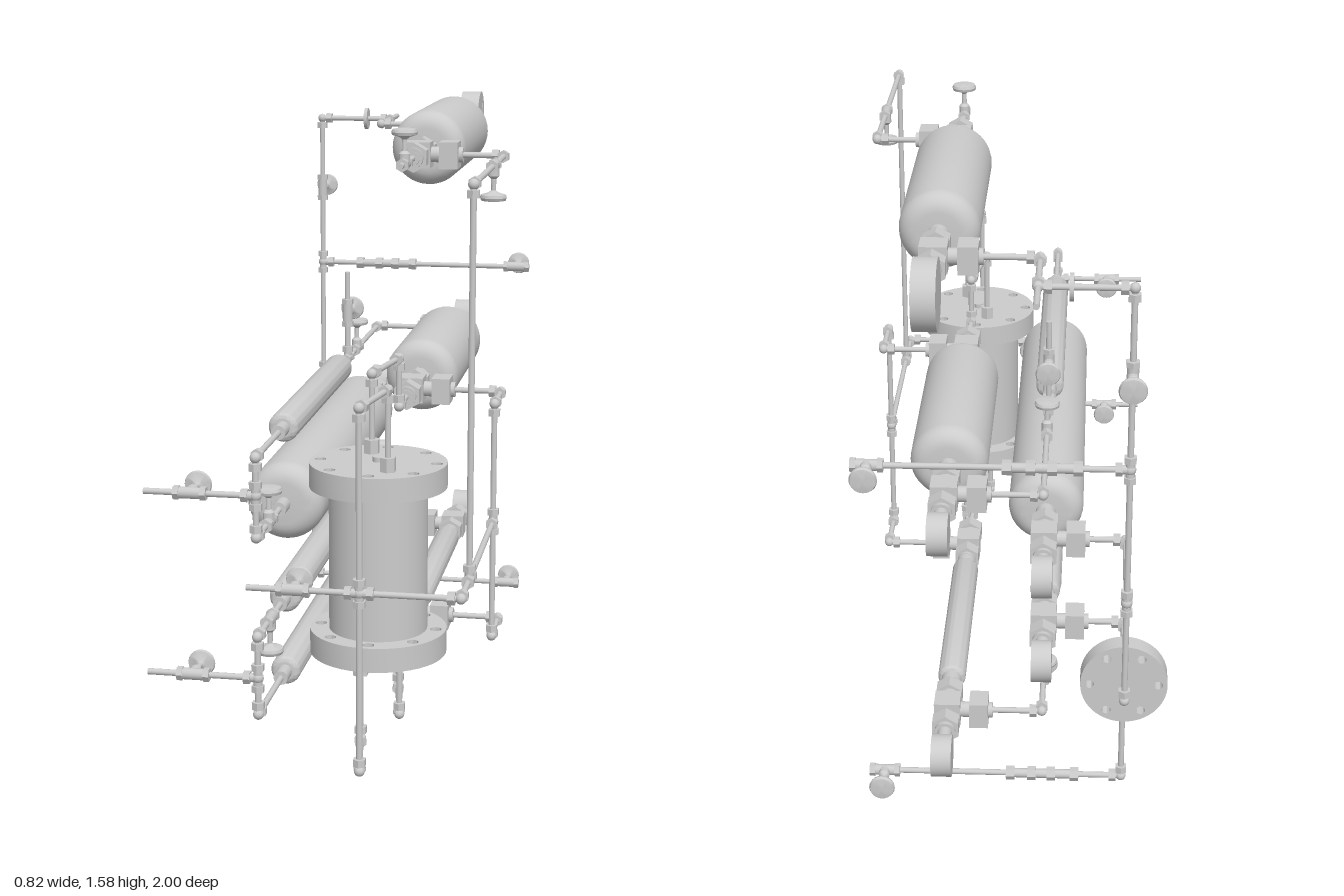
import * as THREE from 'three';
import { toCreasedNormals } from 'three/addons/utils/BufferGeometryUtils.js';

const mat = new THREE.MeshStandardMaterial({ color: 0xcccccc });
const V = (x, y, z) => new THREE.Vector3(x, y, z);
const UP = V(0, 1, 0);
const X = V(1, 0, 0), Z = V(0, 0, 1), NX = V(-1, 0, 0), NZ = V(0, 0, -1), DOWN = V(0, -1, 0);
const PIPE = 0.0075;
const MID = 0.56; // height of the plane about which the lower half mirrors

export function createModel() {
  const root = new THREE.Group();
  root.name = 'pipingAssembly';

  // Place a geometry built along +y at a position, pointing along a direction
  const put = (name, geo, pos, dir = UP, parent = root) => {
    const m = new THREE.Mesh(geo, mat);
    m.name = name;
    m.position.copy(pos);
    m.quaternion.setFromUnitVectors(UP, dir);
    parent.add(m);
    return m;
  };
  const group = (name) => {
    const g = new THREE.Group();
    g.name = name;
    root.add(g);
    return g;
  };
  const lathe = (pts, seg = 32) => toCreasedNormals(
    new THREE.LatheGeometry(pts.map(([r, y]) => new THREE.Vector2(r, y)), seg), 0.6);
  const rod = (name, a, b, r, parent, seg = 12) => {
    const d = b.clone().sub(a);
    const geo = new THREE.CylinderGeometry(r, r, d.length(), seg);
    return put(name, geo, a.clone().add(b).multiplyScalar(0.5), d.normalize(), parent);
  };
  const hexNut = (pos, dir, r, h, parent) =>
    put('hexNut', toCreasedNormals(new THREE.CylinderGeometry(r, r, h, 6), 0.5), pos, dir, parent);

  // Pipe run with an elbow and a pair of nuts at each corner
  const run = (name, ...pts) => {
    const g = group(name);
    const p = pts.map((c) => V(...c));
    for (let i = 0; i < p.length - 1; i++) {
      rod('pipe', p[i], p[i + 1], PIPE, g);
      const d = p[i + 1].clone().sub(p[i]).normalize();
      if (i > 0) hexNut(p[i].clone().addScaledVector(d, 0.022), d, 0.016, 0.018, g);
      if (i < p.length - 2) {
        hexNut(p[i + 1].clone().addScaledVector(d, -0.022), d, 0.016, 0.018, g);
        put('elbow', new THREE.SphereGeometry(0.013, 12, 8), p[i + 1], UP, g);
      }
    }
  };

  // Tee or cross: a body with nuts along each outgoing direction
  const tee = (pos, ...dirs) => {
    const g = group('tee');
    const p = V(...pos);
    put('teeBody', new THREE.SphereGeometry(0.014, 12, 8), p, UP, g);
    dirs.forEach((d) => {
      rod('teeArm', p, p.clone().addScaledVector(d, 0.03), 0.011, g);
      hexNut(p.clone().addScaledVector(d, 0.026), d, 0.016, 0.016, g);
    });
  };

  // Hand valve on a pipe: body, nuts, stem and mushroom handwheel
  const wheelGeo = lathe([[0, 0], [0.014, 0], [0.014, 0.025], [0.007, 0.032], [0.006, 0.06],
    [0.013, 0.066], [0.031, 0.071], [0.033, 0.078], [0.03, 0.085], [0.012, 0.088], [0, 0.088]], 20);
  const valve = (pos, along, wheelDir) => {
    const g = group('handValve');
    const p = V(...pos);
    rod('valveBody', p.clone().addScaledVector(along, -0.026), p.clone().addScaledVector(along, 0.026), 0.014, g);
    [-1, 1].forEach((s) => hexNut(p.clone().addScaledVector(along, 0.032 * s), along, 0.017, 0.014, g));
    put('handwheel', wheelGeo, p, wheelDir, g);
  };

  // Pressure vessel along z with rounded shoulders
  const vessel = (name, x, y, zBack, zFront, r, fillet) => {
    const L = zFront - zBack;
    const pts = [[0, 0]];
    for (let i = 0; i <= 6; i++) {
      const a = (i / 6) * Math.PI / 2;
      pts.push([r - fillet + fillet * Math.sin(a), fillet * (1 - Math.cos(a))]);
    }
    const all = pts.concat(pts.map(([q, h]) => [q, L - h]).reverse());
    put(name, lathe(all, 40), V(x, y, zBack), Z);
  };

  // Nozzle chain on a vessel end: collar, nut, block valve with side ports, nut
  const nozzle = (x, y, z, dir, length, ports) => {
    const g = group('endFittings');
    const at = (d) => V(x, y, z).addScaledVector(dir, d);
    rod('neck', at(-0.02), at(length), 0.018, g, 20);
    rod('collar', at(0), at(0.03), 0.026, g, 20);
    [0.065, 0.215].forEach((d) => {
      hexNut(at(d), dir, 0.038, 0.042, g);
      rod('ferrule', at(d - 0.032), at(d + 0.032), 0.026, g, 20);
    });
    put('blockValve', new THREE.BoxGeometry(0.066, 0.066, 0.066), at(0.14), UP, g);
    ports.forEach((p) => {
      const c = at(0.14);
      rod('portNeck', c, c.clone().addScaledVector(p, 0.115), 0.02, g, 16);
      put('portNut', new THREE.BoxGeometry(0.068, 0.048, 0.068), c.clone().addScaledVector(p, 0.08), p, g);
    });
  };

  // Round gauges facing +x: open cup, or closed case with a slot plate
  const cup = lathe([[0, 0], [0.052, 0], [0.052, 0.05], [0.044, 0.05], [0.044, 0.015], [0, 0.015]]);
  const gauge = (x, y, z) => put('gaugeCup', cup, V(x - 0.025, y, z), X);

  // Flat disc with a ring of bolt holes, centred on its thickness
  const boltFlange = (name, r, h, n, ring, hole, pos, dir) => {
    const s = new THREE.Shape().absarc(0, 0, r, 0, Math.PI * 2);
    for (let i = 0; i < n; i++) {
      const a = (i / n) * Math.PI * 2;
      s.holes.push(new THREE.Path().absarc(ring * Math.cos(a), ring * Math.sin(a), hole, 0, Math.PI * 2, true));
    }
    const geo = new THREE.ExtrudeGeometry(s, { depth: h, bevelEnabled: false, curveSegments: 24 });
    geo.translate(0, 0, -h / 2).rotateX(-Math.PI / 2);
    put(name, toCreasedNormals(geo, 0.6), pos, dir);
  };

  // Upper vessel, its gauge and feed line
  vessel('upperTank', 0.16, 1.485, -0.54, 0.05, 0.098, 0.045);
  nozzle(0.16, 1.485, 0.05, Z, 0.25, [X]);
  nozzle(0.16, 1.485, -0.54, NZ, 0.3, [NX]);
  rod('gaugeCase', V(0.132, 1.485, -0.917), V(0.188, 1.485, -0.917), 0.083, root, 40);
  put('gaugeSlot', new THREE.BoxGeometry(0.004, 0.09, 0.024), V(0.189, 1.485, -0.945));
  run('upperBleed', [0.16, 1.485, 0.28], [0.16, 1.485, 0.5]);
  valve([0.16, 1.485, 0.43], Z, UP);
  run('upperFeed', [0.22, 1.485, 0.19], [0.38, 1.485, 0.19], [0.38, 1.485, 0.83], [0.38, MID, 0.83]);
  valve([0.38, 1.485, 0.43], Z, DOWN);

  // Rear riser with its take-offs
  run('upperReturn', [0.1, 1.485, -0.68], [-0.085, 1.485, -0.68], [-0.085, 1.485, -0.86],
    [-0.3, 1.485, -0.86], [-0.3, 0.405, -0.86], [-0.3, 0.405, -0.76]);
  run('returnStub', [-0.085, 1.485, -0.86], [-0.085, 1.485, -0.98]);
  rod('orificeDisc', V(-0.165, 1.485, -0.86), V(-0.155, 1.485, -0.86), 0.032, root, 24);
  valve([-0.3, 1.27, -0.86], UP, NZ);

  // Long rear cross lines, each with an inline regulator and end valve
  [[1.035, -0.86], [0.065, -0.69]].forEach(([y, z]) => {
    run('rearCrossLine', [-0.3, y, z], [0.35, y, z]);
    valve([0.31, y, z], X, NZ);
    rod('inlineRegulator', V(-0.18, y, z), V(-0.01, y, z), 0.012);
    [-0.18, -0.12, -0.07, -0.015].forEach((x) => hexNut(V(x, y, z), X, 0.018, 0.022));
  });
  tee([-0.3, 1.035, -0.86], UP, DOWN, X);

  // Bolted flange at the rear with two lines entering it
  boltFlange('rearFlange', 0.108, 0.05, 6, 0.085, 0.011, V(-0.3, 0.405, -0.765), NZ);
  run('flangeDrain', [-0.3, 0.37, -0.75], [-0.3, 0.37, -0.69], [-0.3, 0.065, -0.69], [-0.28, 0.065, -0.69]);
  run('flangeInlet', [-0.2, 0.44, -0.55], [-0.3, 0.44, -0.55], [-0.3, 0.44, -0.75]);
  run('tankReturn', [-0.2, 0.68, -0.55], [-0.3, 0.68, -0.55], [-0.3, 0.68, -0.86]);
  tee([-0.3, 0.68, -0.86], UP, DOWN, Z);

  // Separator drum
  const dx = 0.14, dz = 0.69;
  rod('drumBody', V(dx, 0.34, dz), V(dx, 0.79, dz), 0.12, root, 40);

  // Upper and lower halves, mirrored about the middle plane
  [1, -1].forEach((s) => {
    const Y = (d) => MID + s * d;
    const out = s > 0 ? UP : DOWN;
    const inn = s > 0 ? DOWN : UP;
    boltFlange('drumFlange', 0.167, 0.06, 8, 0.142, 0.014, V(dx, Y(0.208), dz), out);
    rod('drumPlug', V(dx, Y(0.23), dz), V(dx, Y(0.25), dz), 0.014);

    // Right-hand vessel: large above, slim below
    vessel(s > 0 ? 'middleTank' : 'lowerSlimTank', 0.145, Y(0.31), -0.54, 0.05,
      s > 0 ? 0.098 : 0.036, s > 0 ? 0.045 : 0.015);
    nozzle(0.145, Y(0.31), 0.05, Z, 0.25, [X]);
    nozzle(0.145, Y(0.31), -0.54, NZ, 0.3, [NX]);
    gauge(0.145, Y(0.31), -0.885);

    // Left-hand vessel: large above, slim below
    vessel(s > 0 ? 'longTank' : 'longSlimTank', -0.095, Y(0.12), -0.41, 0.69,
      s > 0 ? 0.097 : 0.039, s > 0 ? 0.045 : 0.015);
    nozzle(-0.095, Y(0.12), -0.41, NZ, 0.3, [NX]);
    gauge(-0.095, Y(0.12), -0.745);

    // Slim tube outermost on the left
    vessel('slimTube', -0.095, Y(0.31), -0.05, 0.69, 0.037, 0.015);

    // Front end of the left pair, joined by a short vertical line
    [0.12, 0.31].forEach((d) => rod('tubeNeck', V(-0.095, Y(d), 0.67), V(-0.095, Y(d), 0.74), 0.018));
    run('frontLink', [-0.095, Y(0.31), 0.69], [-0.095, Y(0.31), 0.982],
      [-0.095, Y(0.12), 0.982], [-0.095, Y(0.12), 0.69]);
    valve([-0.095, Y(0.12), 0.85], Z, out);
    tee([-0.095, Y(0.22), 0.982], UP, DOWN, NX);
    run('frontVent', [-0.095, Y(0.22), 0.982], [-0.36, Y(0.22), 0.982]);
    valve([-0.25, Y(0.22), 0.982], X, NZ);

    // Rear end of the slim tube: vent stub, shut-off valve and link to the tank
    rod('tubeNeck', V(-0.095, Y(0.31), -0.1), V(-0.095, Y(0.31), -0.03), 0.018);
    run('rearLink', [-0.095, Y(0.31), -0.05], [-0.095, Y(0.31), -0.68], [0.1, Y(0.31), -0.68]);
    tee([-0.095, Y(0.31), -0.175], Z, NZ, out);
    run('ventStub', [-0.095, Y(0.31), -0.175], [-0.095, Y(0.555), -0.175]);
    valve([-0.095, Y(0.44), -0.175], UP, NZ);
    valve([-0.095, Y(0.31), -0.32], Z, out);

    // Drum loops to the tank and to the front header
    const nx = (x) => 0.145 + s * x;
    run('tankLoop', [0.145, Y(0.31), 0.28], [0.145, Y(0.31), 0.41], [0.145, Y(0.435), 0.41],
      [nx(-0.035), Y(0.435), 0.61], [nx(-0.035), Y(0.2), 0.61]);
    run('headerLoop', [0.145, MID, 0.982], [0.145, Y(0.435), 0.982],
      [nx(0.033), Y(0.435), 0.78], [nx(0.033), Y(0.2), 0.78]);
    [[-0.035, 0.61], [0.033, 0.78]].forEach(([x, z]) =>
      hexNut(V(nx(x), Y(0.255), z), UP, 0.02, 0.035));

    // Side feed to the right-hand vessel
    run('sideFeed', [0.2, Y(0.31), 0.19], [0.38, Y(0.31), 0.19], [0.38, Y(0.31), 0.34], [0.38, MID, 0.34]);
  });

  // Front header across the drum and back along the side
  run('frontHeader', [-0.12, MID, 0.982], [0.38, MID, 0.982], [0.38, MID, 0.34]);
  valve([-0.01, MID, 0.982], X, NZ);
  tee([0.145, MID, 0.982], UP, DOWN, X, NX);
  tee([0.38, MID, 0.83], UP, Z, NZ);
  tee([0.38, MID, 0.34], UP, DOWN, Z);

  return root;
}
